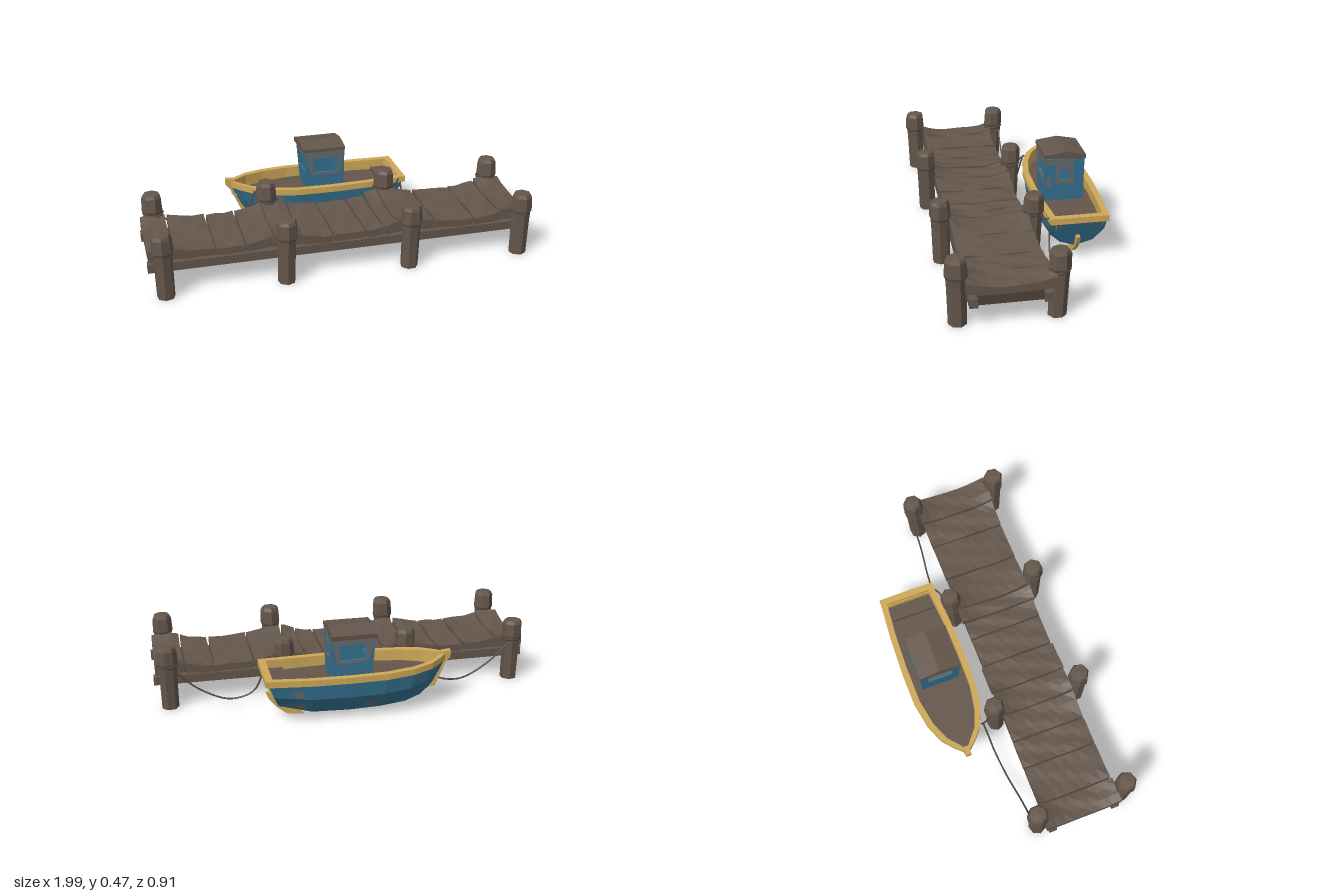
import * as THREE from 'three';

const mat = (name, color) => new THREE.MeshStandardMaterial({ name, color, side: THREE.DoubleSide });

// Small seeded generator, -1..1
function makeRandom(seed) {
  return () => {
    seed = (seed * 16807) % 2147483647;
    return (seed / 2147483647) * 2 - 1;
  };
}

// Faceted normals
function facet(geo) {
  const g = geo.index ? geo.toNonIndexed() : geo;
  g.computeVertexNormals();
  return g;
}

// Skin between rows of [x, y, z] points
function loft(rows) {
  const pos = [], idx = [], n = rows[0].length;
  rows.forEach(r => r.forEach(p => pos.push(...p)));
  for (let i = 0; i < rows.length - 1; i++) {
    for (let j = 0; j < n - 1; j++) {
      const a = i * n + j, b = a + n;
      idx.push(a, a + 1, b, b, a + 1, b + 1);
    }
  }
  const g = new THREE.BufferGeometry();
  g.setAttribute('position', new THREE.Float32BufferAttribute(pos, 3));
  g.setIndex(idx);
  return facet(g);
}

const outline = pts => pts.map(p => new THREE.Vector2(p[0], p[1]));
function plate(points, depth, hole) {
  const s = new THREE.Shape(outline(points));
  if (hole) s.holes.push(new THREE.Path(outline(hole)));
  return new THREE.ExtrudeGeometry(s, { depth, bevelEnabled: false });
}
const rect = (x0, x1, y0, y1) => [[x0, y0], [x1, y0], [x1, y1], [x0, y1]];

export function createModel() {
  const model = new THREE.Group();
  const rnd = makeRandom(77);
  const wood = mat('brown wood', 0x64564b);
  const dark = mat('dark underside wood', 0x4c4239);
  const blue = mat('blue paint', 0x34708f);
  const gold = mat('yellow trim', 0xcea858);
  const worn = mat('weathered paint', 0x656a6c);
  const ropeMat = mat('rope', 0x5a4c41);

  const add = (parent, name, geo, material, x = 0, y = 0, z = 0) => {
    const m = new THREE.Mesh(geo, material);
    m.name = name;
    m.position.set(x, y, z);
    parent.add(m);
    return m;
  };

  // ---- Pier ----
  const pier = new THREE.Group();
  pier.name = 'pier';
  model.add(pier);

  // Hewn posts with a thicker head
  const postX = [-0.92, -0.32, 0.32, 0.92];
  const postProfile = outline([[0, 0], [0.045, 0], [0.047, 0.19], [0.049, 0.235],
    [0.055, 0.25], [0.051, 0.32], [0.042, 0.337], [0, 0.34]]);
  for (const x of postX) {
    for (const z of [0.4, -0.06]) {
      const g = new THREE.LatheGeometry(postProfile, 7, rnd());
      const p = g.attributes.position;
      const lean = rnd() * 0.008, back = z < 0 ? -0.012 : 0.004;
      for (let i = 0; i < p.count; i++) {
        const t = p.getY(i) / 0.34;
        p.setX(i, p.getX(i) + lean * t);
        p.setZ(i, p.getZ(i) + back * t);
      }
      add(pier, 'post', facet(g), wood, x, 0, z);
    }
  }

  // Planks, their tops swelling up where they meet the posts
  const seams = [-0.995, -0.86, -0.66, -0.51, -0.36, -0.225, -0.065, 0.1, 0.2, 0.28, 0.475, 0.685, 0.835, 0.99];
  for (let i = 0; i < seams.length - 1; i++) {
    const w = seams[i + 1] - seams[i] - 0.01, cx = (seams[i] + seams[i + 1]) / 2;
    const g = new THREE.BoxGeometry(w, 0.036, 0.4 + rnd() * 0.012, 3, 1, 8);
    const p = g.attributes.position;
    const tilt = rnd() * 0.03, turn = rnd() * 0.015;
    for (let k = 0; k < p.count; k++) {
      const x = p.getX(k), z = p.getZ(k), top = p.getY(k) > 0 ? 1 : 0.25;
      const d = Math.min(...postX.map(q => Math.abs(q - x - cx)));
      const lift = 0.036 * top * Math.exp(-((d / 0.12) ** 2)) * Math.abs(z / 0.2) ** 3;
      p.setY(k, p.getY(k) + lift + x * tilt + 0.003 * Math.sin(x * 60 + z * 25 + i));
      p.setX(k, x + z * turn);
    }
    add(pier, 'plank', facet(g), wood, cx, 0.185 + rnd() * 0.003, 0.16);
  }

  // Long beams and dark underside
  for (const z of [0.335, -0.008]) {
    add(pier, 'beam', new THREE.BoxGeometry(1.99, 0.045, 0.04), wood, 0, 0.134, z);
  }
  add(pier, 'underside', new THREE.BoxGeometry(1.95, 0.048, 0.31), dark, 0, 0.138, 0.163);

  // ---- Boat ----
  const boat = new THREE.Group();
  boat.name = 'boat';
  boat.position.z = -0.277;
  model.add(boat);

  // Stations: sheer x, half width, sheer y, keel x, keel y
  const stations = [
    [-0.475, 0.012, 0.24, -0.415, 0.1], [-0.44, 0.05, 0.237, -0.37, 0.065],
    [-0.38, 0.1, 0.232, -0.32, 0.035], [-0.28, 0.14, 0.226, -0.24, 0.013],
    [-0.14, 0.164, 0.222, -0.1, 0.003], [0.05, 0.166, 0.22, 0.05, 0],
    [0.25, 0.159, 0.22, 0.23, 0.006], [0.455, 0.143, 0.224, 0.39, 0.06]];
  const levels = [[1, 1], [0.62, 0.94], [0.2, 0.6], [0, 0]];
  const hullPoint = ([xt, hw, ys, xk, yk], t, w) => [xk + (xt - xk) * t, yk + (ys - yk) * t, hw * w];
  const hullRows = stations.map(s => [
    ...levels.map(([t, w]) => hullPoint(s, t, w)),
    ...levels.slice(0, 3).reverse().map(([t, w]) => hullPoint(s, t, -w))]);
  add(boat, 'hull', loft(hullRows), blue);
  const last = hullRows[hullRows.length - 1], sternTop = [0.455, 0.224, 0];
  add(boat, 'transom', loft([last, last.map(() => sternTop)]), blue);

  // Raised rim on both sides, its inner face running down to the deck
  const inner = hw => Math.max(hw - 0.026, 0.001);
  for (const s of [-1, 1]) {
    add(boat, 'rim', loft(stations.map(([x, hw, y]) => [
      [x, y - 0.002, s * (hw - 0.004)], [x, y - 0.002, s * (hw + 0.006)], [x, y + 0.03, s * (hw + 0.006)],
      [x, y + 0.03, s * inner(hw)], [x, 0.19, s * inner(hw)]])), gold);
  }
  add(boat, 'stern rim', new THREE.BoxGeometry(0.036, 0.032, 0.298), gold, 0.453, 0.238, 0);
  add(boat, 'stern inner wall', new THREE.BoxGeometry(0.006, 0.045, 0.24), gold, 0.432, 0.215, 0);
  add(boat, 'deck', loft(stations.slice(1).map(([x, hw]) =>
    [[Math.min(x, 0.435), 0.195, inner(hw)], [Math.min(x, 0.435), 0.195, -inner(hw)]])), wood);
  add(boat, 'stern bench', new THREE.BoxGeometry(0.08, 0.02, 0.23), wood, 0.388, 0.203, 0);

  // Bow stem and stern skeg
  add(boat, 'stem', plate([[-0.505, 0.285], [-0.505, 0.25], [-0.48, 0.22], [-0.425, 0.095],
    [-0.4, 0.09], [-0.45, 0.24], [-0.458, 0.28]], 0.028), gold, 0, 0, -0.016);
  add(boat, 'skeg', plate([[0.26, 0], [0.345, 0.008], [0.4, 0.05], [0.44, 0.1], [0.455, 0.135],
    [0.42, 0.135], [0.38, 0.06], [0.3, 0.03]], 0.018), gold, 0, 0, -0.009);

  // Worn paint patches lying on the hull facets
  const patch = (a, b, c, r) => {
    const [A, B, C] = [a, b, c].map(p => new THREE.Vector3(...p));
    const n = B.clone().sub(A).cross(C.clone().sub(A)).normalize();
    const mid = A.add(B).add(C).divideScalar(3);
    if (n.dot(new THREE.Vector3(mid.x * 0.3, mid.y - 0.15, mid.z)) < 0) n.negate();
    const m = add(boat, 'worn patch', new THREE.CircleGeometry(r, 9), worn);
    m.position.copy(mid).addScaledVector(n, 0.003);
    m.quaternion.setFromUnitVectors(new THREE.Vector3(0, 0, 1), n);
  };
  for (const [i, j, r] of [[3, 0, 0.022], [5, 1, 0.03], [6, 0, 0.024], [4, 4, 0.03], [6, 5, 0.026], [2, 5, 0.016], [6, 4, 0.022]]) {
    patch(hullRows[i][j], hullRows[i][j + 1], hullRows[i + 1][j], r);
  }
  patch(last[0], last[1], sternTop, 0.018);
  patch(last[5], last[6], sternTop, 0.018);

  // ---- Cabin ----
  const cabin = new THREE.Group();
  cabin.name = 'cabin';
  boat.add(cabin);
  const face = [[-0.068, 0.19], [0.128, 0.19], [0.133, 0.435], [-0.088, 0.435]];
  const faceHole = [[-0.036, 0.315], [0.092, 0.308], [0.1, 0.395], [-0.046, 0.395]];
  const faceFrame = [[-0.05, 0.3], [0.108, 0.293], [0.132, 0.405], [0.133, 0.43], [-0.088, 0.43], [-0.084, 0.405]];
  for (const z of [0.1, -0.094]) {
    add(cabin, 'long wall', plate(face, 0.012, faceHole), blue, 0, 0, z - 0.006);
    add(cabin, 'worn window surround', plate(faceFrame, 0.002, faceHole), worn, 0, 0, z > 0 ? 0.106 : -0.102);
  }
  // End walls: shape x is -z, turned to face along x and leaning with height
  const endWall = (name, pts, hole, depth, material, x, slope) => {
    const g = plate(pts, depth, hole).rotateY(Math.PI / 2);
    const p = g.attributes.position;
    for (let i = 0; i < p.count; i++) p.setX(i, p.getX(i) + (p.getY(i) - 0.19) * slope);
    g.computeVertexNormals();
    add(cabin, name, g, material, x);
  };
  const sternHole = rect(-0.033, 0.024, 0.31, 0.366);
  endWall('stern wall', rect(-0.1, 0.094, 0.19, 0.43), sternHole, 0.012, blue, 0.117, 0.02);
  endWall('stern window frame', rect(-0.05, 0.044, 0.288, 0.39), sternHole, 0.003, worn, 0.129, 0.02);
  endWall('worn band', rect(-0.104, 0.045, 0.395, 0.43), null, 0.002, worn, 0.129, 0.02);
  endWall('worn corner', rect(-0.1, -0.072, 0.27, 0.325), null, 0.002, worn, 0.129, 0.02);
  endWall('bow wall', rect(-0.1, 0.094, 0.19, 0.43), rect(-0.07, 0.064, 0.3, 0.39), 0.012, blue, -0.067, -0.08);
  endWall('worn band', rect(-0.1, 0.094, 0.4, 0.428), null, 0.002, worn, -0.069, -0.08);

  const roof = plate([[-0.112, 0.434], [0, 0.432], [0.106, 0.422], [0.108, 0.446], [0, 0.467], [-0.112, 0.451]], 0.232);
  add(cabin, 'roof', roof.rotateY(Math.PI / 2), wood, -0.096);

  // ---- Mooring ropes ----
  const rope = (...pts) => {
    const curve = new THREE.CatmullRomCurve3(pts.map(p => new THREE.Vector3(...p)));
    add(model, 'mooring rope', new THREE.TubeGeometry(curve, 24, 0.0048, 5), ropeMat);
  };
  rope([-0.9, 0.22, -0.1], [-0.78, 0.11, -0.1], [-0.62, 0.038, -0.115], [-0.48, 0.07, -0.13], [-0.42, 0.15, -0.138], [-0.37, 0.25, -0.15]);
  rope([0.9, 0.22, -0.1], [0.77, 0.1, -0.095], [0.62, 0.038, -0.11], [0.5, 0.07, -0.12], [0.455, 0.15, -0.125], [0.44, 0.25, -0.135]);
  rope([-0.34, 0.225, -0.11], [-0.36, 0.235, -0.13], [-0.37, 0.25, -0.16]);
  rope([0.34, 0.225, -0.11], [0.4, 0.225, -0.105], [0.44, 0.25, -0.135]);
  for (const x of postX) {
    const ring = new THREE.TorusGeometry(0.049, 0.007, 5, 10).rotateX(Math.PI / 2 + 0.1);
    add(model, 'rope wrap', ring, ropeMat, x, 0.232, -0.068);
  }
  return model;
}
